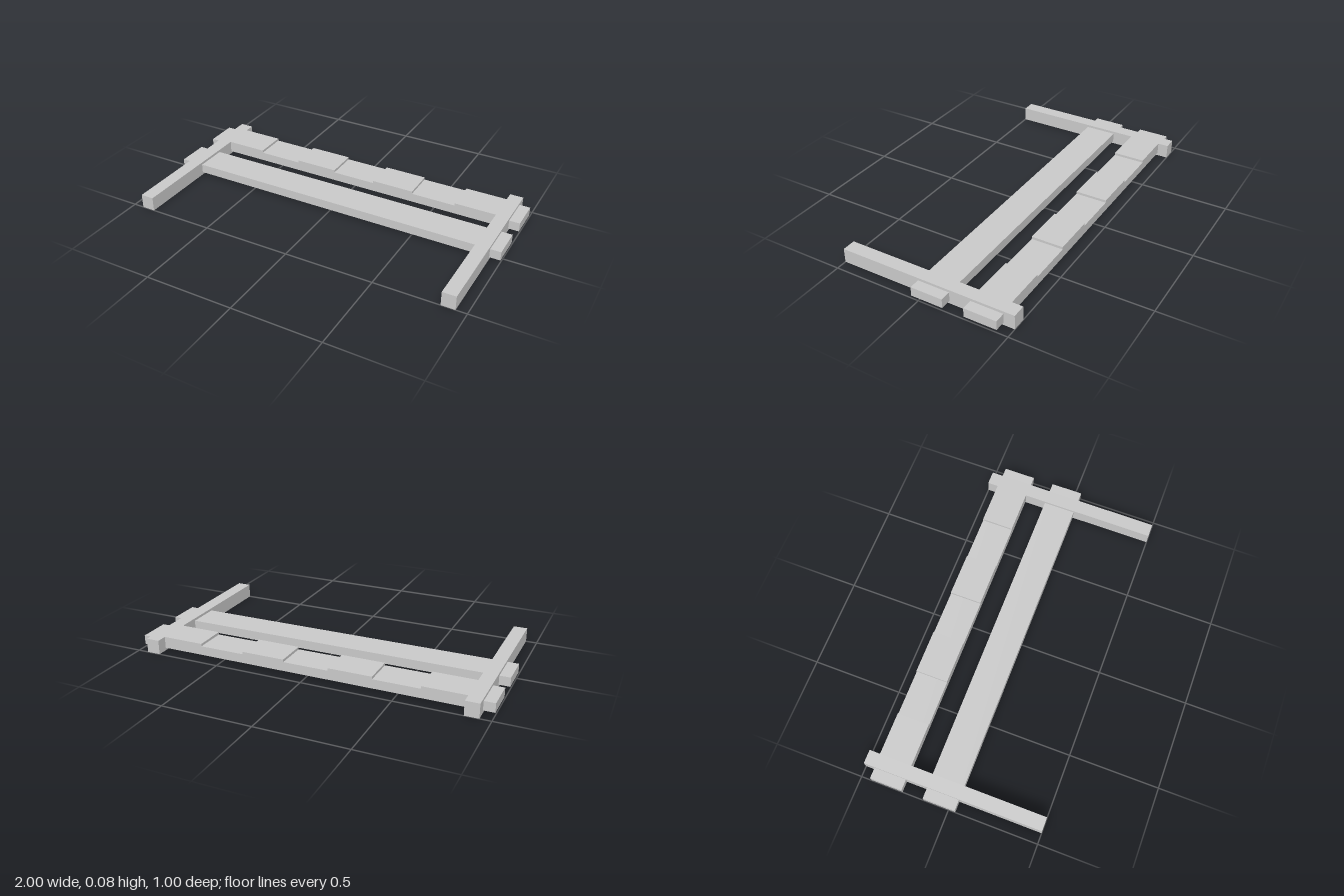
import * as THREE from 'three';

export function createModel() {
  const model = new THREE.Group();
  const grey = new THREE.MeshStandardMaterial({ color: 0xc8c8c8 });
  grey.name = 'light grey';

  // Box given by its lower and upper limits on each axis
  const addBox = (name, [x0, x1], [y0, y1], [z0, z1]) => {
    const mesh = new THREE.Mesh(new THREE.BoxGeometry(x1 - x0, y1 - y0, z1 - z0), grey);
    mesh.position.set((x0 + x1) / 2, (y0 + y1) / 2, (z0 + z1) / 2);
    mesh.name = name;
    model.add(mesh);
  };

  // Two side beams running front to back
  addBox('leftBeam', [0.864, 0.94], [0, 0.08], [-0.5, 0.5]);
  addBox('rightBeam', [-0.94, -0.864], [0, 0.08], [-0.5, 0.5]);

  // Two long rails passing through the beams
  const railY = [0.015, 0.066];
  addBox('frontRail', [-1, 1], railY, [-0.14, 0.04]);
  addBox('backRail', [-1, 1], railY, [-0.44, -0.26]);

  // Four raised pads along the back rail, the outer ones meeting the beams
  [[-0.864, -0.627], [-0.371, -0.127], [0.127, 0.371], [0.627, 0.864]].forEach((x, i) =>
    addBox(`pad${i + 1}`, x, [0.066, 0.08], [-0.44, -0.26]));

  return model;
}
